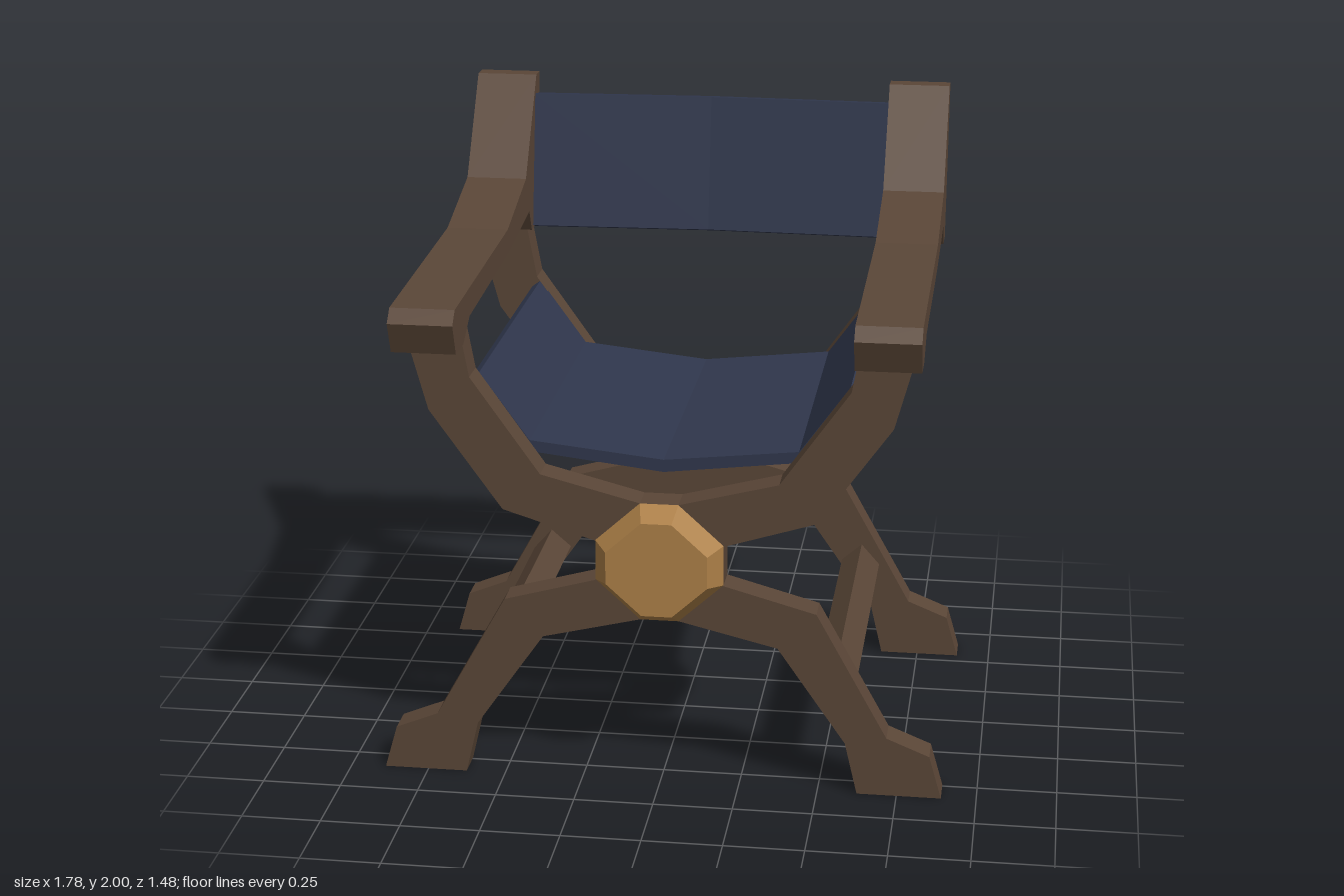
import * as THREE from 'three';

const material = (color) => new THREE.MeshStandardMaterial({ color, flatShading: true });
const wood = material(0x5a4637);
const cloth = material(0x30374d);
const brass = material(0xad8048);

function add(parent, name, geometry, mat) {
  const mesh = new THREE.Mesh(geometry, mat);
  mesh.name = name;
  parent.add(mesh);
  return mesh;
}

// Outline extruded along z, from z0 to z1
function slab(points, z0, z1) {
  const shape = new THREE.Shape(points.map(([x, y]) => new THREE.Vector2(x, y)));
  return new THREE.ExtrudeGeometry(shape, { depth: z1 - z0, bevelEnabled: false }).translate(0, 0, z0);
}

// Mirrors a right-hand run of points into a closed outline
const mirrored = (half) => [...half, ...half.map(([x, y]) => [-x, y]).reverse()];

// Closed solid through a row of convex rings
function loft(rings) {
  const n = rings[0].length;
  const index = [];
  for (let r = 0; r < rings.length - 1; r++) {
    for (let i = 0; i < n; i++) {
      const a = r * n + i, b = r * n + (i + 1) % n;
      index.push(a, b, b + n, a, b + n, a + n);
    }
  }
  const last = (rings.length - 1) * n;
  for (let i = 1; i < n - 1; i++) index.push(0, i + 1, i, last, last + i, last + i + 1);
  const indexed = new THREE.BufferGeometry();
  indexed.setAttribute('position', new THREE.Float32BufferAttribute(rings.flat(2), 3));
  indexed.setIndex(index);
  const geometry = indexed.toNonIndexed();
  geometry.computeVertexNormals();
  return geometry;
}

export function createModel() {
  const chair = new THREE.Group();
  chair.name = 'foldingArmchair';

  // Crossed leg frames: curved arms above, splayed feet below, joined at the hub
  const frameOutline = mirrored([
    [0.06, 0.555], [0.37, 0.48], [0.585, 0.17], [0.625, 0], [0.89, 0], [0.85, 0.14],
    [0.715, 0.195], [0.49, 0.6], [0.2, 0.68], [0.2, 0.81], [0.49, 0.9], [0.715, 1.215],
    [0.79, 1.49], [0.615, 1.49], [0.585, 1.325], [0.37, 1.02], [0.06, 0.94],
  ]);
  add(chair, 'frontLegFrame', slab(frameOutline, 0.49, 0.59), wood);
  add(chair, 'backLegFrame', slab(frameOutline, -0.65, -0.55), wood);

  // Bevelled octagonal bosses on the outer faces of the hubs
  const octagon = [
    [0.06, -0.1925], [0.2, -0.065], [0.2, 0.065], [0.06, 0.1925],
    [-0.06, 0.1925], [-0.2, 0.065], [-0.2, -0.065], [-0.06, -0.1925],
  ];
  const bossRing = (scale, z) => octagon.map(([x, y]) => [x * scale, y * scale, z]);
  const bossGeometry = loft([bossRing(1, 0), bossRing(0.79, 0.07)]);
  add(chair, 'frontBoss', bossGeometry, brass).position.set(0, 0.7475, 0.59);
  const backBoss = add(chair, 'backBoss', bossGeometry, brass);
  backBoss.position.set(0, 0.7475, -0.65);
  backBoss.rotation.y = Math.PI;

  // Armrests that sweep up into the back posts, profile in (z, y)
  const armGeometry = slab([
    [0.74, 1.53], [0.7, 1.57], [-0.13, 1.6], [-0.46, 1.69], [-0.68, 2], [-0.74, 2], [-0.65, 1.43 + 0.06],
    [-0.55, 1.49], [-0.51, 1.565], [-0.13, 1.52], [0.49, 1.49], [0.59, 1.43], [0.7, 1.43],
  ], -0.1, 0.1).rotateY(-Math.PI / 2);

  // Armrest and low stretcher on each side
  for (const [side, s] of [['left', 1], ['right', -1]]) {
    add(chair, side + 'Armrest', armGeometry, wood).position.x = s * 0.7;
    const stretcher = add(chair, side + 'Stretcher', new THREE.BoxGeometry(0.09, 0.094, 1.06), wood);
    stretcher.position.set(s * 0.545, 0.335, -0.03);
    stretcher.rotation.z = s * 0.72;
  }

  // Sling seat that climbs the frame arms at both sides
  const seatOutline = mirrored([
    [0, 1.01], [0.445, 1.062], [0.602, 1.29], [0.575, 1.31], [0.42, 1.095], [0, 1.05],
  ].slice(1, 5));
  seatOutline.splice(4, 0, [0, 1.05]);
  seatOutline.push([0, 1.01]);
  add(chair, 'slingSeat', slab(seatOutline, -0.56, 0.49), cloth);

  // Leaning back panel, bowed slightly to the rear in the middle
  const backRing = (x, bow) => [
    [x, 1.5, -0.575 - bow], [x, 1.48, -0.64 - bow], [x, 1.93, -0.72 - bow], [x, 1.94, -0.655 - bow],
  ];
  add(chair, 'backPanel', loft([backRing(-0.605, 0), backRing(0, 0.022), backRing(0.605, 0)]), cloth);

  return chair;
}
